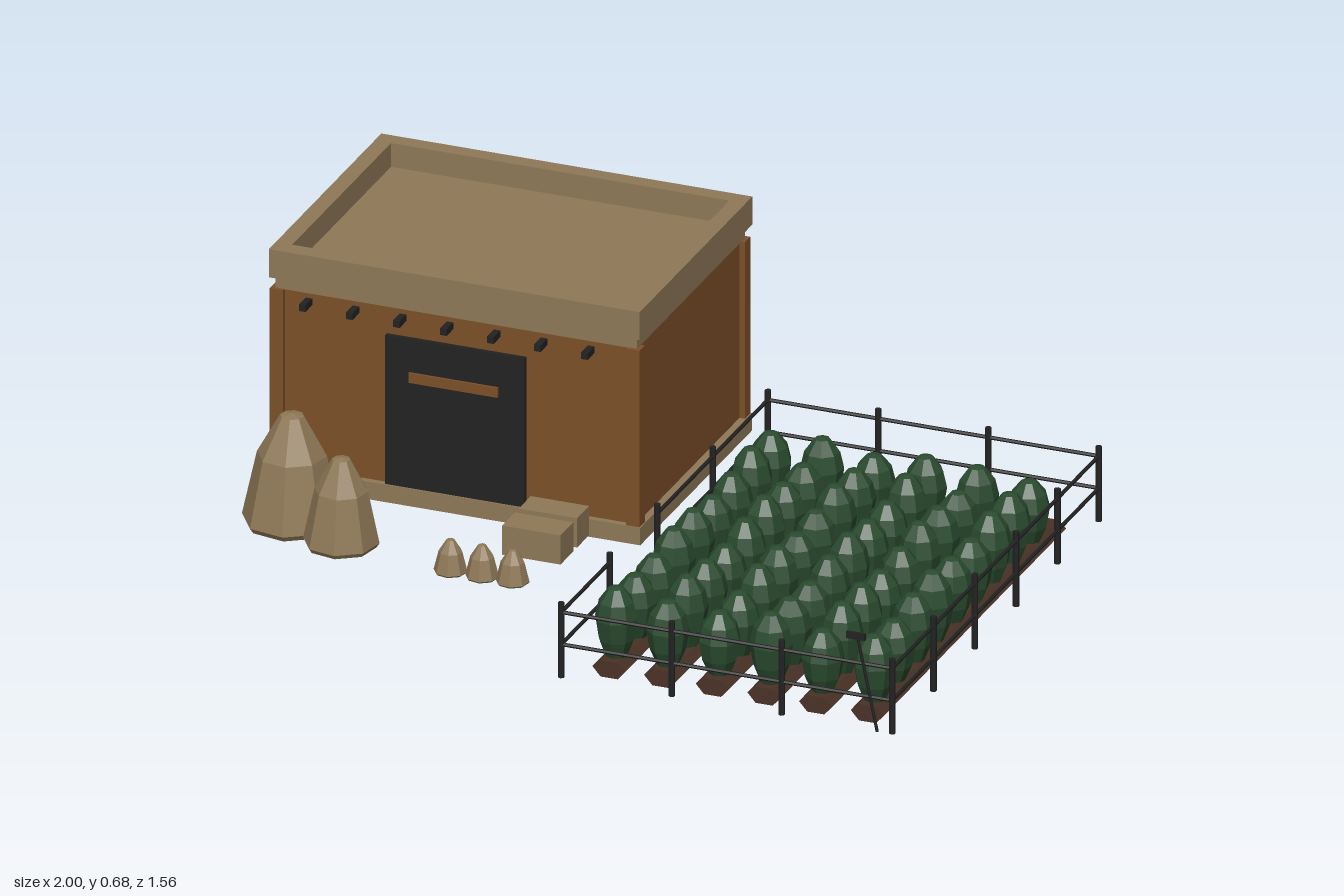
import * as THREE from 'three';

const mat = (name, color) => new THREE.MeshStandardMaterial({ name, color, flatShading: true });

export function createModel() {
  const clay = mat('clay brown', 0x7d5029);
  const tan = mat('sandy tan', 0x8f7957);
  const black = mat('charcoal', 0x222222);
  const soil = mat('soil brown', 0x4a3226);
  const green = mat('leaf green', 0x2a4b2f);

  const root = new THREE.Group();
  root.name = 'farmstead';
  const group = (name) => {
    const g = new THREE.Group();
    g.name = name;
    root.add(g);
    return g;
  };
  const add = (parent, name, geometry, material, x = 0, y = 0, z = 0) => {
    const m = new THREE.Mesh(geometry, material);
    m.name = name;
    m.position.set(x, y, z);
    parent.add(m);
    return m;
  };
  // Box given by its limits on each axis
  const box = (parent, name, material, x0, x1, y0, y1, z0, z1) =>
    add(parent, name, new THREE.BoxGeometry(x1 - x0, y1 - y0, z1 - z0), material,
      (x0 + x1) / 2, (y0 + y1) / 2, (z0 + z1) / 2);
  // Round bar between two points
  const bar = (parent, name, a, b, r, material) => {
    const p = new THREE.Vector3(...a), q = new THREE.Vector3(...b);
    const d = q.clone().sub(p);
    const m = add(parent, name, new THREE.CylinderGeometry(r, r, d.length(), 6), material);
    m.position.copy(p).add(q).multiplyScalar(0.5);
    m.quaternion.setFromUnitVectors(new THREE.Vector3(0, 1, 0), d.normalize());
    return m;
  };
  const lathe = (points, sides) =>
    new THREE.LatheGeometry(points.map(([r, y]) => new THREE.Vector2(r, y)), sides);

  // House: plinth, walls, corner posts and flat roof with parapet
  const house = group('house');
  box(house, 'plinth', tan, -1, -0.002, 0.034, 0.082, -0.777, -0.038);
  box(house, 'walls', clay, -0.985, -0.02, 0.08, 0.566, -0.76, -0.055);
  for (const x of [-1, -0.041])
    for (const z of [-0.775, -0.076])
      box(house, 'cornerPost', clay, x, x + 0.036, 0.08, 0.566, z, z + 0.036);
  box(house, 'roofSlab', tan, -0.988, -0.016, 0.565, 0.61, -0.765, -0.05);
  box(house, 'parapetFront', tan, -1, -0.002, 0.598, 0.675, -0.082, -0.035);
  box(house, 'parapetBack', tan, -1, -0.002, 0.598, 0.675, -0.78, -0.736);
  box(house, 'parapetLeft', tan, -0.046, -0.002, 0.598, 0.675, -0.737, -0.081);
  box(house, 'parapetRight', tan, -1, -0.956, 0.598, 0.675, -0.737, -0.081);

  // Door with slot, and roof beam ends above it
  box(house, 'door', black, -0.69, -0.315, 0.08, 0.49, -0.056, -0.042);
  box(house, 'doorSlot', clay, -0.625, -0.385, 0.373, 0.4, -0.043, -0.036);
  for (let i = 0; i < 7; i++) {
    const x = -0.9 + i * 0.1265;
    box(house, 'beamEnd', black, x - 0.009, x + 0.009, 0.532, 0.55, -0.06, -0.01);
  }

  // Heaps, small sacks and crates beside the house
  const yard = group('yard');
  const heap = (name, x, z, r, h) =>
    add(yard, name, lathe([[0, 0], [r * 0.92, 0], [r, 0.05 * h], [r * 0.7, 0.63 * h],
      [r * 0.24, 0.98 * h], [0, h]], 8), tan, x, 0.035, z).rotation.y = 0.2;
  heap('largeHeap', -0.857, 0.163, 0.127, 0.3);
  heap('smallHeap', -0.693, 0.24, 0.097, 0.24);
  for (const x of [-0.38, -0.295, -0.213]) heap('sack', x, 0.287, 0.043, 0.09);
  box(yard, 'backCrate', tan, -0.295, -0.138, 0.04, 0.12, -0.035, 0.045);
  box(yard, 'frontCrate', tan, -0.295, -0.138, 0.04, 0.12, 0.07, 0.155);

  // Garden beds with rows of bushes
  const garden = group('garden');
  const hexagon = new THREE.Shape([[-0.045, 0.026], [-0.023, 0.001], [0.023, 0.001],
    [0.045, 0.026], [0.023, 0.046], [-0.023, 0.046]].map(([x, y]) => new THREE.Vector2(x, y)));
  const bedGeometry = new THREE.ExtrudeGeometry(hexagon, { depth: 1.205, bevelEnabled: false });
  bedGeometry.translate(0, -0.001, -0.55);
  const bushGeometry = lathe([[0, 0], [0.026, 0], [0.046, 0.05], [0.055, 0.105],
    [0.045, 0.148], [0.02, 0.182], [0, 0.187]], 8);
  for (let i = 0; i < 6; i++) {
    const x = 0.196 + i * 0.139;
    add(garden, 'bed', bedGeometry, soil, x);
    for (let j = 0; j < 9; j++) {
      const bush = add(garden, 'bush', bushGeometry, green, x, 0.038, -0.414 + j * 0.1277);
      bush.scale.y = 0.98 + 0.07 * Math.sin(i * 2.3 + j * 1.7);
      bush.rotation.y = i * 1.1 + j * 0.7;
    }
  }

  // Fence with a gateway on the house side
  const fence = group('fence');
  const [xa, xb, za, zb] = [0.1, 0.99, -0.632, 0.735];
  const posts = [];
  for (const x of [xa, 0.397, 0.693, xb]) posts.push([x, za], [x, zb]);
  for (const z of [-0.359, -0.085, 0.188, 0.462]) posts.push([xb, z]);
  for (const z of [-0.268, 0.1, 0.415]) posts.push([xa, z]);
  for (const [x, z] of posts) bar(fence, 'post', [x, 0.02, z], [x, 0.225, z], 0.0085, black);
  const runs = [[xa, za, xb, za], [xa, zb, xb, zb], [xb, za, xb, zb],
    [xa, za, xa, 0.1], [xa, 0.415, xa, zb]];
  for (const y of [0.11, 0.198])
    for (const [x0, z0, x1, z1] of runs)
      bar(fence, 'rail', [x0, y, z0], [x1, y, z1], 0.005, black);

  // Hoe leaning at the front corner
  const hoe = group('hoe');
  bar(hoe, 'handle', [0.96, 0.03, 0.76], [0.912, 0.298, 0.777], 0.004, black);
  add(hoe, 'blade', new THREE.BoxGeometry(0.05, 0.018, 0.008), black, 0.909, 0.291, 0.776);

  return root;
}
